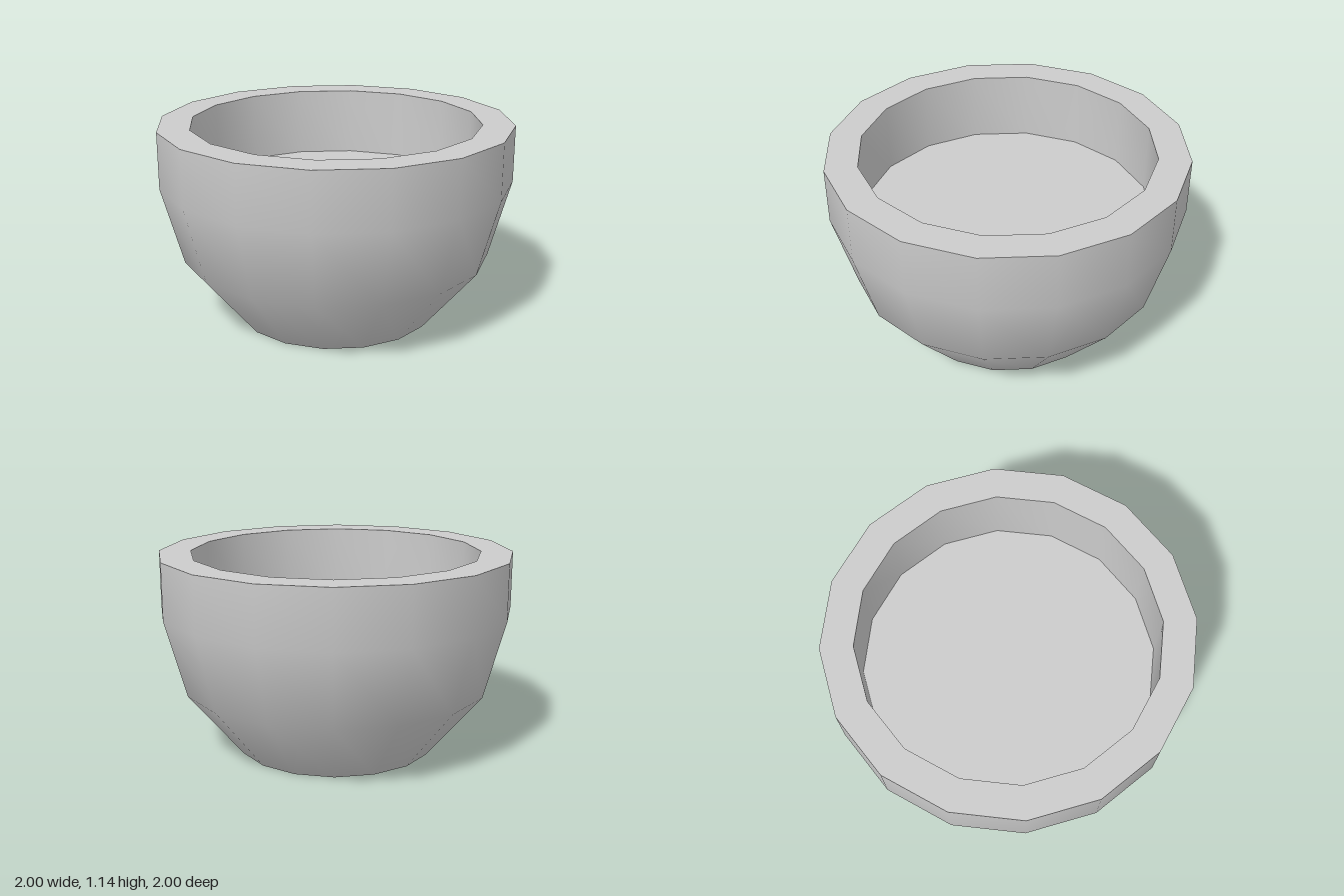
import * as THREE from 'three';
import { toCreasedNormals } from 'three/addons/utils/BufferGeometryUtils.js';

const SIDES = 16;

export function createModel() {
  const group = new THREE.Group();
  group.name = 'bowl';
  const material = new THREE.MeshStandardMaterial({ color: 0xcccccc });

  // Turns a [radius, height] profile, smooth except at sharp edges
  const addTurned = (name, profile) => {
    const points = profile.map(([r, y]) => new THREE.Vector2(r, y));
    const geometry = toCreasedNormals(new THREE.LatheGeometry(points, SIDES), 0.6);
    const mesh = new THREE.Mesh(geometry, material);
    mesh.name = name;
    group.add(mesh);
  };

  // Flat base, flared outer wall, flat rim and straight inner wall
  addTurned('bowlBody', [
    [0, 0], [0.565, 0], [0.88, 0.38], [1, 0.82], [1, 1.14],
    [0.82, 1.14], [0.82, 0.745],
  ]);

  // Flat floor inside the bowl
  addTurned('innerFloor', [[0.82, 0.745], [0, 0.745]]);

  return group;
}
